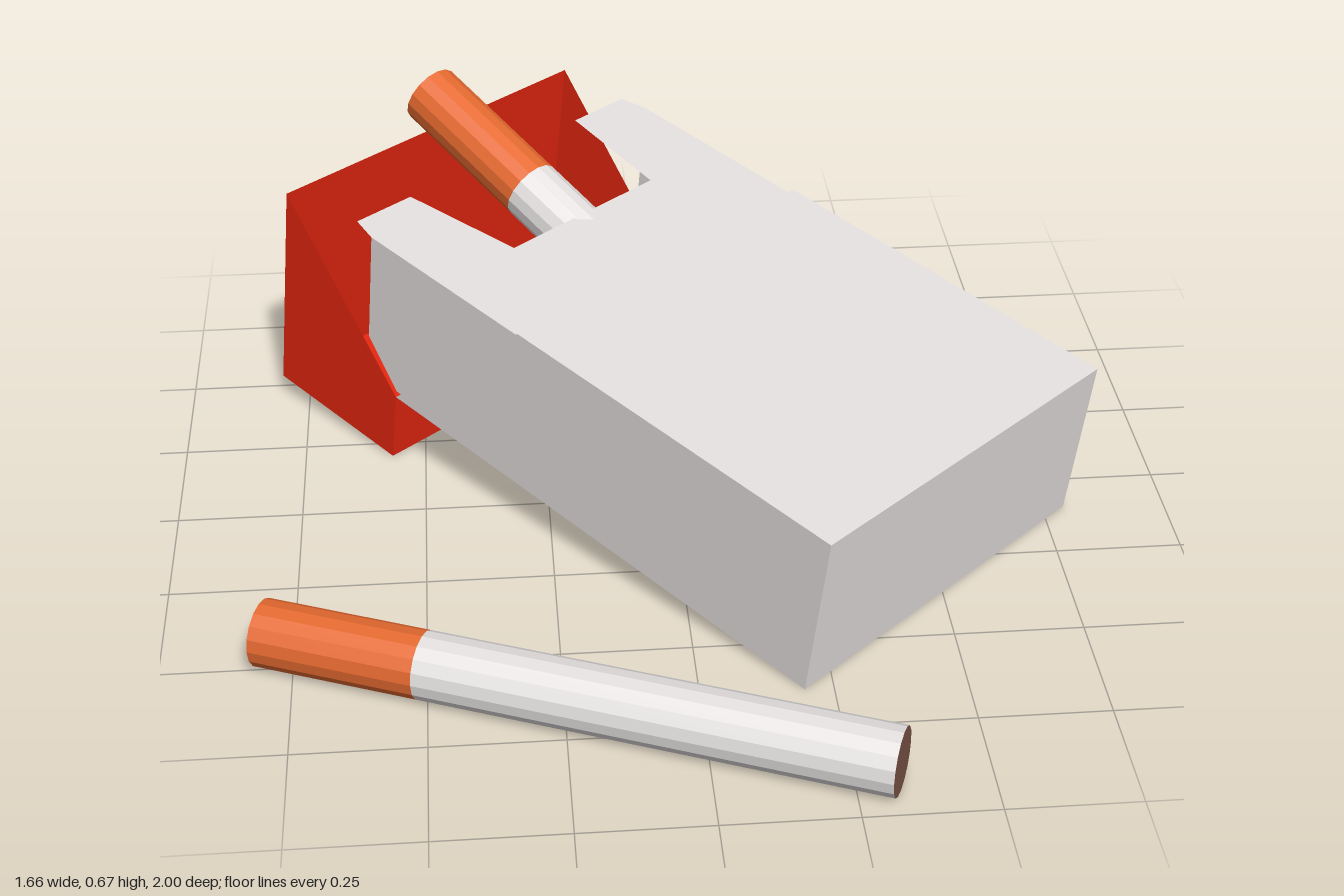
import * as THREE from 'three';

const mat = (name, color, extra = {}) => {
  const m = new THREE.MeshStandardMaterial({ color, flatShading: true, ...extra });
  m.name = name;
  return m;
};

export function createModel() {
  const card = mat('card white', 0xe2dedd, { side: THREE.DoubleSide });
  const red = mat('lid red', 0xe4260f, { side: THREE.DoubleSide });
  const paper = mat('cigarette paper', 0xe4e0e0);
  const cork = mat('filter orange', 0xe56a30);
  const tobacco = mat('tobacco brown', 0x7a5346);

  const W = 0.405, D = 0.354, KNEE = 0.80, HINGE = 1.126;
  const add = (parent, name, geo, material) => {
    const m = new THREE.Mesh(geo, material);
    m.name = name;
    parent.add(m);
    return m;
  };
  const group = (parent, name) => {
    const g = new THREE.Group();
    g.name = name;
    parent.add(g);
    return g;
  };
  const flat = (pts) => new THREE.ShapeGeometry(new THREE.Shape(pts.map(p => new THREE.Vector2(...p))));

  // Card folded along a side profile of [length, height] points, spanning the pack width
  const fold = (pts, w) => {
    const pos = [];
    for (let i = 0; i < pts.length - 1; i++) {
      const [v0, n0] = pts[i], [v1, n1] = pts[i + 1];
      const a = [-w, n0, -v0], b = [w, n0, -v0], c = [w, n1, -v1], d = [-w, n1, -v1];
      pos.push(...a, ...b, ...c, ...a, ...c, ...d);
    }
    const g = new THREE.BufferGeometry();
    g.setAttribute('position', new THREE.Float32BufferAttribute(pos, 3));
    g.computeVertexNormals();
    return g;
  };
  // Matching left and right side panels
  const sides = (parent, name, pts, w, material) => {
    for (const s of [-1, 1]) {
      add(parent, name, flat(pts).rotateY(Math.PI / 2), material).position.x = s * w;
    }
  };

  // Cigarette along +x, filter end at the origin
  const LEN = 1.225, FILTER = 0.325, R = 0.065;
  const cigarette = (parent, name) => {
    const g = group(parent, name);
    const tube = (len, x) => new THREE.CylinderGeometry(R, R, len, 16, 1, true)
      .rotateZ(Math.PI / 2).translate(x + len / 2, 0, 0);
    add(g, 'filterWrap', tube(FILTER, 0), cork);
    add(g, 'paperTube', tube(LEN - FILTER, FILTER), paper);
    add(g, 'filterEnd', new THREE.CircleGeometry(R, 16).rotateY(-Math.PI / 2), paper);
    add(g, 'tobaccoEnd', new THREE.CircleGeometry(R, 16).rotateY(Math.PI / 2).translate(LEN, 0, 0), tobacco);
    return g;
  };

  const model = new THREE.Group();
  model.name = 'openPack';

  // Pack frame: x across, y out of the front panel, -z towards the lid
  const pack = group(model, 'pack');
  pack.position.set(0.495, 0, 0.37);
  pack.rotation.set(THREE.MathUtils.degToRad(8), 0.737, 0, 'YXZ');

  // Box body, cut diagonally at the open end
  const body = group(pack, 'body');
  const bodyProfile = [[HINGE, 0], [0, 0], [0, D], [KNEE, D]];
  add(body, 'bodyPanels', fold(bodyProfile, W), card);
  sides(body, 'bodySide', bodyProfile, W, card);

  // Inner collar with a notch between two ears
  const collar = group(pack, 'innerCollar');
  const half = [[0.40, 0.75], [0.40, 1.225], [0.385, 1.285], [0.24, 1.285], [0.20, 1.02]];
  const outline = [...half, ...half.map(([u, v]) => [-u, v]).reverse()];
  add(collar, 'collarFront', flat(outline).rotateX(-Math.PI / 2), card).position.y = 0.345;
  sides(collar, 'collarSide', [[0.75, 0.01], [1.13, 0.01], [1.22, 0.10], [1.225, 0.345], [0.75, 0.345]], 0.40, card);

  // Lid swung back a quarter turn on the hinge
  const lid = group(pack, 'lid');
  const lidProfile = [[HINGE, 0], [HINGE, -0.157], [HINGE + D, -0.157], [HINGE + D, 0.317]];
  add(lid, 'lidPanels', fold(lidProfile, W), red);
  sides(lid, 'lidSide', lidProfile, W, red);

  // Cigarettes lying in the box, and one pulled out through the notch
  for (const u of [-0.16, -0.305]) {
    const c = cigarette(pack, 'packedCigarette');
    c.position.set(u, 0.11, -1.25);
    c.rotation.y = -Math.PI / 2;
  }
  const pulled = cigarette(pack, 'pulledCigarette');
  pulled.position.set(0, 0.402, -1.489);
  pulled.rotation.set(0, -Math.PI / 2, -THREE.MathUtils.degToRad(14), 'YXZ');

  // Loose cigarette on the ground
  const loose = cigarette(model, 'looseCigarette');
  loose.position.set(-0.805, R, 0.47);
  loose.rotation.y = -Math.atan2(0.465, 1.133);

  return model;
}
